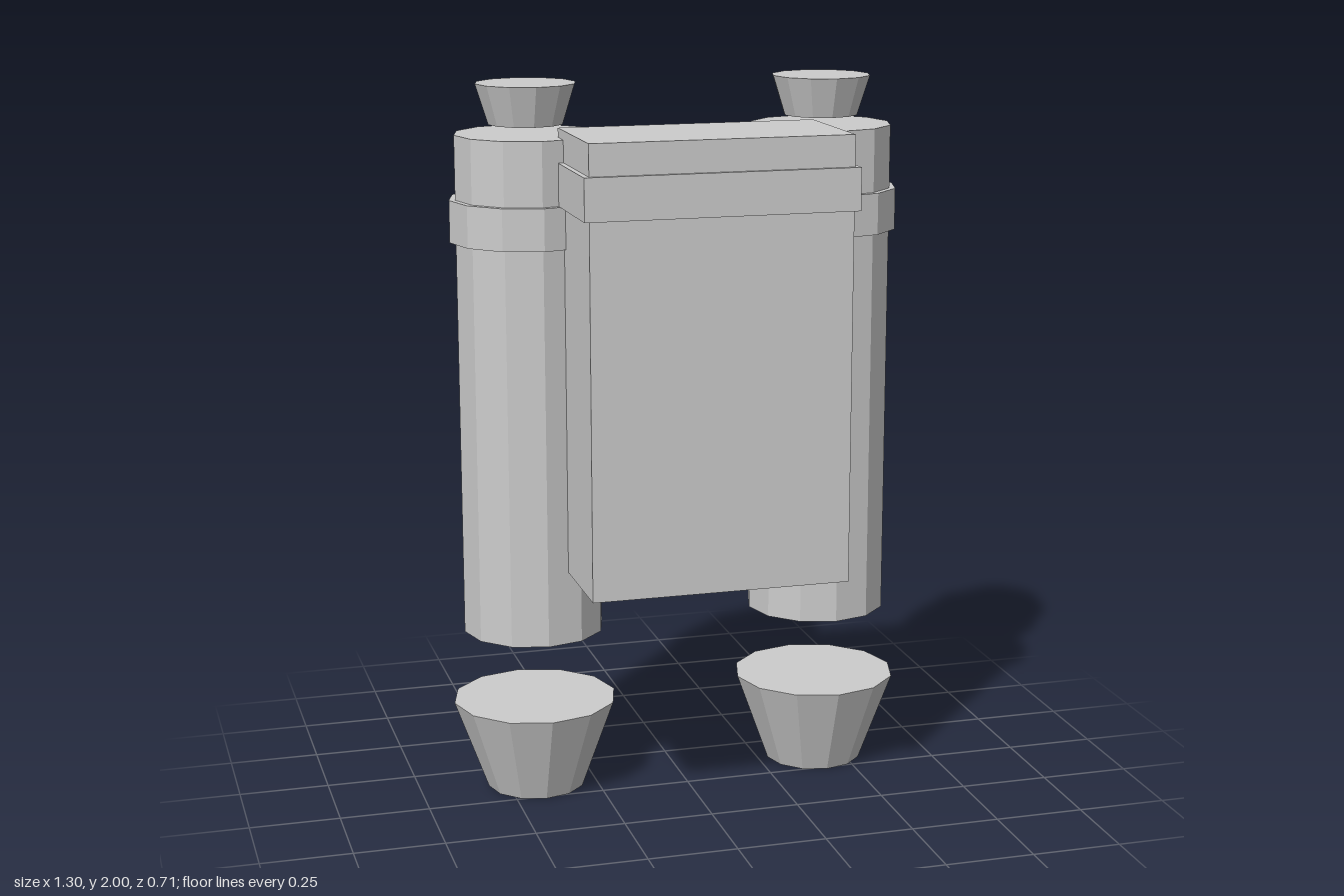
import * as THREE from 'three';

export function createModel() {
  const model = new THREE.Group();
  model.name = 'twinTankPack';
  const grey = new THREE.MeshStandardMaterial({ color: 0xcccccc, flatShading: true });
  grey.name = 'light grey';

  const add = (parent, name, geometry, x, y, z) => {
    const mesh = new THREE.Mesh(geometry, grey);
    mesh.name = name;
    mesh.position.set(x, y, z);
    parent.add(mesh);
  };

  // Box given by its half width and its y and z ranges
  const box = (name, halfWidth, y0, y1, z0, z1) =>
    add(model, name, new THREE.BoxGeometry(halfWidth * 2, y1 - y0, z1 - z0), 0, (y0 + y1) / 2, (z0 + z1) / 2);

  // Twelve-sided closed drum or cone
  const drum = (parent, name, rTop, rBottom, y0, y1) =>
    add(parent, name, new THREE.CylinderGeometry(rTop, rBottom, y1 - y0, 12), 0, (y0 + y1) / 2, 0);

  // Central pack, its strap and the plate joining the tanks
  box('pack', 0.357, 0.675, 1.89, -0.005, 0.345);
  box('packBand', 0.372, 1.69, 1.805, -0.012, 0.355);
  box('backPlate', 0.4, 1.0, 1.75, -0.065, 0.02);

  // A tank with floating cap and nozzle on each side
  for (const [name, side] of [['leftTank', 1], ['rightTank', -1]]) {
    const tank = new THREE.Group();
    tank.name = name;
    tank.position.set(side * 0.418, 0, -0.123);
    drum(tank, 'tankBody', 0.198, 0.198, 0.47, 1.865);
    drum(tank, 'tankBand', 0.215, 0.215, 1.575, 1.69);
    drum(tank, 'topCap', 0.138, 0.103, 1.89, 2);
    drum(tank, 'nozzle', 0.232, 0.138, 0, 0.26);
    model.add(tank);
  }
  return model;
}
